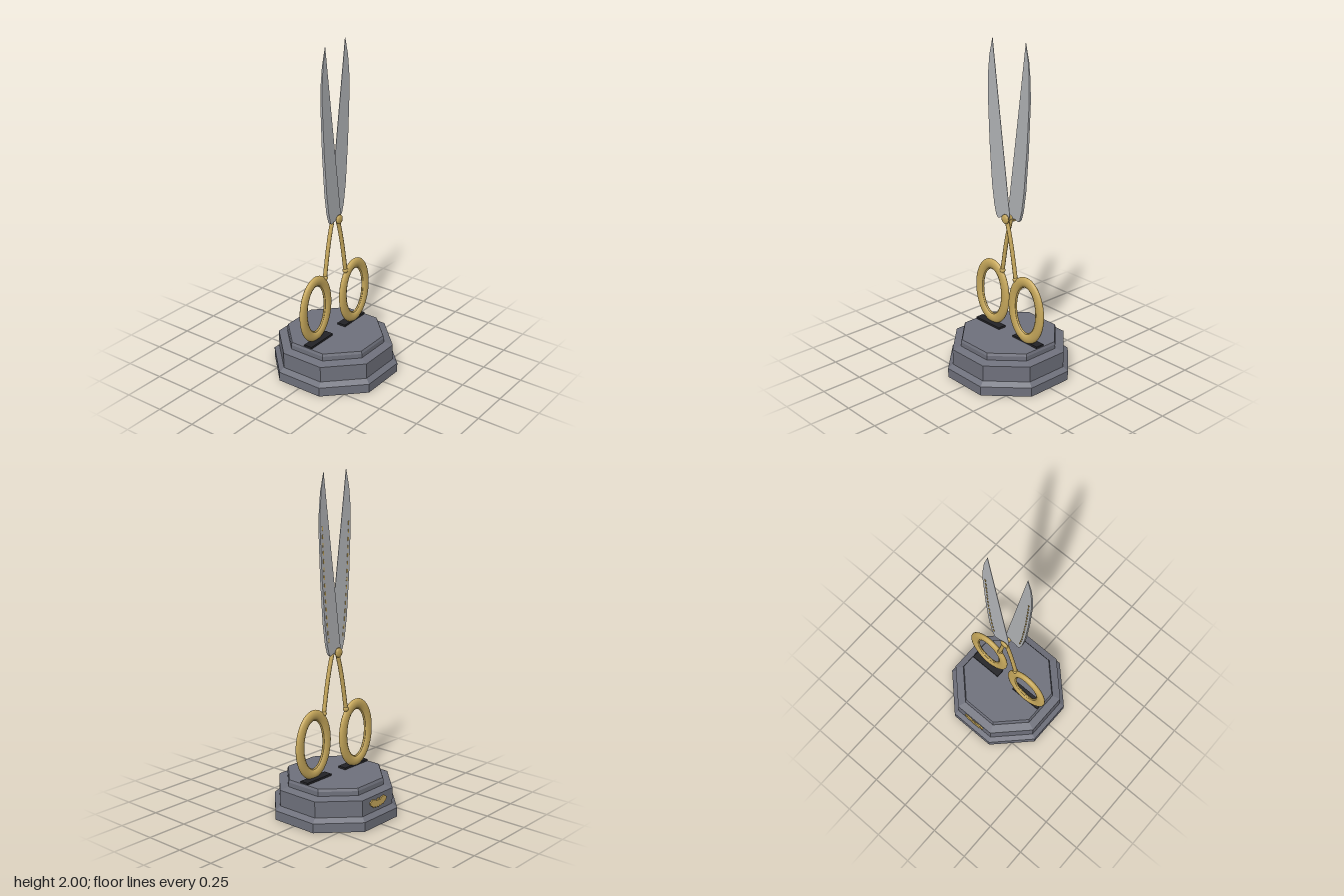
import * as THREE from 'three';

const material = (name, color, opts = {}) => {
  const m = new THREE.MeshStandardMaterial({ color, ...opts });
  m.name = name;
  return m;
};

function part(parent, name, geometry, mat, x = 0, y = 0, z = 0) {
  const mesh = new THREE.Mesh(geometry, mat);
  mesh.name = name;
  mesh.position.set(x, y, z);
  parent.add(mesh);
  return mesh;
}

// Closed ellipse for the finger rings
class EllipsePath extends THREE.Curve {
  constructor(rx, ry) {
    super();
    this.rx = rx;
    this.ry = ry;
  }
  getPoint(t, target = new THREE.Vector3()) {
    const a = t * Math.PI * 2;
    return target.set(this.rx * Math.cos(a), this.ry * Math.sin(a), 0);
  }
}

// Blade thickness grows from the cutting edge to the spine
const cuttingEdge = (y) => 0.115 - 0.141 * (2 - y);
const thickness = (x, y) => 0.003 + 0.12 * Math.max(0, x - cuttingEdge(y));

const SPINE = [
  [0.02, 0.96], [0.04, 0.965], [0.065, 0.955], [0.08, 0.97], [0.097, 1.03], [0.115, 1.15],
  [0.136, 1.4], [0.15, 1.68], [0.148, 1.8], [0.138, 1.9], [0.115, 2.0],
];

function spineX(y) {
  for (let i = 4; i < SPINE.length - 1; i++) {
    const [x0, y0] = SPINE[i], [x1, y1] = SPINE[i + 1];
    if (y <= y1) return x0 + (x1 - x0) * (y - y0) / (y1 - y0);
  }
  return SPINE[SPINE.length - 1][0];
}

function bladeGeometry() {
  const outline = [[-0.027, 0.99], [-0.018, 0.962], ...SPINE];
  const shape = new THREE.Shape(outline.map(([x, y]) => new THREE.Vector2(x, y)));
  const g = new THREE.ExtrudeGeometry(shape, { depth: 1, bevelEnabled: false });
  const p = g.attributes.position;
  for (let i = 0; i < p.count; i++) {
    p.setZ(i, (p.getZ(i) - 0.5) * thickness(p.getX(i), p.getY(i)));
  }
  g.computeVertexNormals();
  return g;
}

// One scissor half: blade on +x, shank and finger ring on -x
function scissorHalf(name, mats, inlaySide) {
  const half = new THREE.Group();
  half.name = name;
  part(half, 'blade', bladeGeometry(), mats.steel);

  // Dashed inlay along the spine
  for (let i = 0; i < 15; i++) {
    const y = 1.05 + i * 0.046, x = spineX(y) - 0.018;
    const dash = part(half, 'inlayDash', new THREE.BoxGeometry(0.007, 0.024, 0.004), mats.gold,
      x, y, inlaySide * (thickness(x, y) / 2 + 0.0005));
    dash.rotation.z = -0.08;
  }

  // Curved shank with a collar where it meets the ring
  const path = new THREE.CatmullRomCurve3([
    [-0.08, 0.585], [-0.066, 0.67], [-0.046, 0.78], [-0.023, 0.88], [0.002, 0.965],
  ].map(([x, y]) => new THREE.Vector3(x, y, 0)));
  part(half, 'shank', new THREE.TubeGeometry(path, 20, 0.0125, 8), mats.gold);
  part(half, 'collar', new THREE.SphereGeometry(0.017, 16, 10), mats.gold, -0.076, 0.607, 0);

  // Oval finger ring, flattened front to back, with a fine inner lip
  const ring = new THREE.TubeGeometry(new EllipsePath(0.116, 0.179), 64, 0.03, 16, true);
  ring.scale(1, 1, 0.55);
  part(half, 'fingerRing', ring, mats.gold, -0.167, 0.44, 0);
  const lip = new THREE.TubeGeometry(new EllipsePath(0.086, 0.15), 64, 0.006, 8, true);
  part(half, 'ringLip', lip, mats.gold, -0.167, 0.44, 0);

  half.position.z = -0.018;
  return half;
}

// Winged ornament outline, mirrored about its centre
function ornamentGeometry() {
  const side = [[0, 0.012], [0.006, 0.026], [0.012, 0.012], [0.03, 0.024], [0.052, 0.028], [0.075, 0.014],
    [0.066, -0.006], [0.052, -0.012], [0.046, -0.022], [0.032, -0.018], [0.022, -0.028], [0.01, -0.02], [0, -0.03]];
  const mirrored = side.slice(1, -1).reverse().map(([x, y]) => [-x, y]);
  const shape = new THREE.Shape([...side, ...mirrored].map(([x, y]) => new THREE.Vector2(x, y)));
  return new THREE.ExtrudeGeometry(shape, { depth: 0.009, bevelEnabled: false });
}

export function createModel() {
  const model = new THREE.Group();
  model.name = 'scissorsOnPlinth';
  const mats = {
    steel: material('blade steel', 0xb2b4b7),
    gold: material('gold', 0xc8a95c),
    stone: material('plinth grey', 0x6f717c, { flatShading: true }),
    dark: material('slot black', 0x222226),
  };

  // Stepped octagonal plinth, given as distances to the flats
  const profile = [
    [0, 0], [0.355, 0], [0.355, 0.056], [0.327, 0.08], [0.327, 0.177], [0.278, 0.19],
    [0.278, 0.217], [0.272, 0.232], [0, 0.232],
  ].map(([r, y]) => new THREE.Vector2(r / Math.cos(Math.PI / 8), y));
  part(model, 'plinth', new THREE.LatheGeometry(profile, 8, Math.PI / 8), mats.stone);

  // Dark slots that hold the rings
  for (const s of [-1, 1]) {
    part(model, 'ringSlot', new THREE.BoxGeometry(0.206, 0.014, 0.054), mats.dark, s * 0.165, 0.237, 0);
  }

  // Two crossed halves
  model.add(scissorHalf('rearHalf', mats, -1));
  const front = new THREE.Group();
  front.name = 'frontHalfTurn';
  front.rotation.y = Math.PI;
  front.add(scissorHalf('frontHalf', mats, 1));
  model.add(front);

  // Pivot pin with domed heads
  const pin = [[0, -0.04], [0.018, -0.039], [0.027, -0.034], [0.029, -0.026], [0.014, -0.024],
    [0.014, 0.024], [0.029, 0.026], [0.027, 0.034], [0.018, 0.039], [0, 0.04]];
  const pivot = part(model, 'pivot',
    new THREE.LatheGeometry(pin.map(([r, y]) => new THREE.Vector2(r, y)), 24), mats.gold, 0, 0.965, 0);
  pivot.rotation.x = Math.PI / 2;

  // Ornament on the back of the plinth
  part(model, 'backOrnament', ornamentGeometry(), mats.gold, 0, 0.13, -0.335);

  return model;
}
